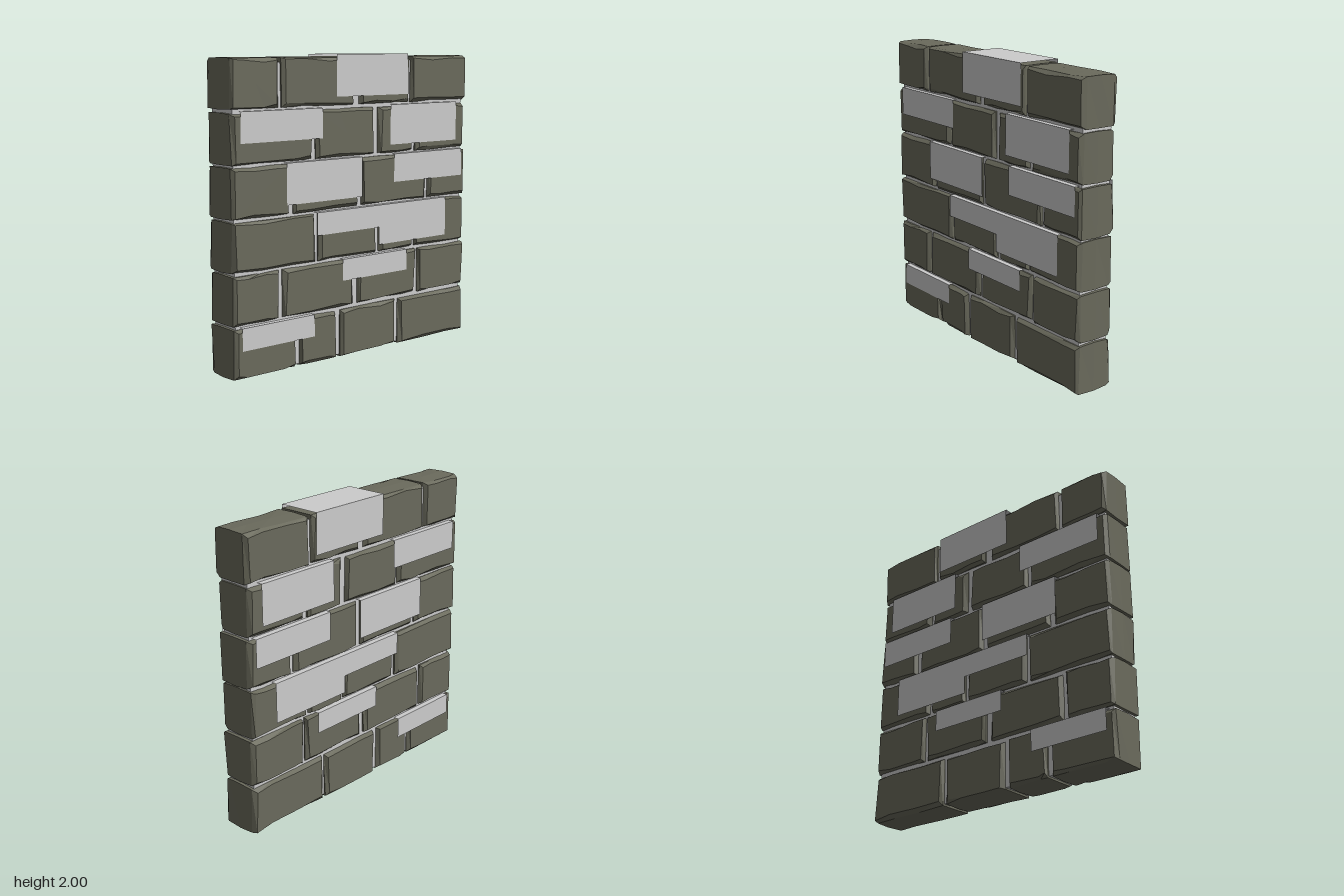
import * as THREE from 'three';

const stoneMat = new THREE.MeshStandardMaterial({ color: 0x6a6a5c, flatShading: true });
const greyMat = new THREE.MeshStandardMaterial({ color: 0xcccccc });
const coverMat = new THREE.MeshStandardMaterial({ color: 0xcccccc, side: THREE.DoubleSide });

// small seeded generator
let seed = 7;
const rand = (a, b) => {
  seed = (seed * 16807) % 2147483647;
  return a + (b - a) * (seed / 2147483647);
};

// Rough-hewn block: rings of an irregular outline, chamfered towards front and back
function stoneBlock(x0, x1, y0, y1) {
  const w = x1 - x0, h = y1 - y0;
  const s = 0.3 + rand(-0.1, 0.1), t = 0.7 + rand(-0.1, 0.1);
  // counter-clockwise outline with the outward direction of each point
  const outline = [
    [0, 0, -1, -1], [s, 0, 0, -1], [t, 0, 0, -1], [1, 0, 1, -1],
    [1, 1, 1, 1], [t, 1, 0, 1], [s, 1, 0, 1], [0, 1, -1, 1],
  ];
  const n = outline.length;
  const ring = (zMin, zMax, inMin, inMax) => outline.map(([u, v, dx, dy]) => [
    x0 + u * w - dx * rand(inMin, inMax),
    y0 + v * h - dy * rand(inMin, inMax),
    rand(zMin, zMax),
  ]);
  const rings = [
    ring(-0.14, -0.14, 0.012, 0.032),
    ring(-0.125, -0.1, 0.002, 0.008),
    ring(0, 0, 0, 0.003),
    ring(0.1, 0.125, 0.002, 0.008),
    ring(0.14, 0.14, 0.012, 0.032),
  ];
  const pos = rings.flat(2);
  const index = [];
  for (let r = 0; r < rings.length - 1; r++) {
    for (let i = 0; i < n; i++) {
      const j = (i + 1) % n;
      const a = r * n + i, b = r * n + j, c = b + n, d = a + n;
      index.push(a, b, c, a, c, d);
    }
  }
  // flat front and back faces as fans around a centre point
  const centre = rings.length * n, last = (rings.length - 1) * n;
  pos.push((x0 + x1) / 2, (y0 + y1) / 2, -0.14, (x0 + x1) / 2, (y0 + y1) / 2, 0.14);
  for (let i = 0; i < n; i++) {
    const j = (i + 1) % n;
    index.push(centre, j, i, centre + 1, last + i, last + j);
  }
  const indexed = new THREE.BufferGeometry();
  indexed.setAttribute('position', new THREE.Float32BufferAttribute(pos, 3));
  indexed.setIndex(index);
  const geo = indexed.toNonIndexed();
  geo.computeVertexNormals();
  return geo;
}

// Sheet folded over a course: front flap, top strip, back flap, open ends
function foldedSheet(x0, x1, y0, y1) {
  const section = [[y0, 0.146], [y1, 0.146], [y1, -0.15], [y0, -0.15]];
  const pos = [];
  for (let i = 0; i < 3; i++) {
    const [ya, za] = section[i], [yb, zb] = section[i + 1];
    pos.push(x0, ya, za, x1, ya, za, x1, yb, zb, x0, ya, za, x1, yb, zb, x0, yb, zb);
  }
  const geo = new THREE.BufferGeometry();
  geo.setAttribute('position', new THREE.Float32BufferAttribute(pos, 3));
  geo.computeVertexNormals();
  return geo;
}

export function createModel() {
  seed = 7;
  const wall = new THREE.Group();
  wall.name = 'stoneWall';
  const add = (name, geo, mat) => {
    const mesh = new THREE.Mesh(geo, mat);
    mesh.name = name;
    wall.add(mesh);
    return mesh;
  };

  // mortar core seen in the joints
  add('mortar', new THREE.BoxGeometry(1.95, 1.94, 0.22), greyMat).position.y = 0.985;

  // courses from bottom to top: y range, then the left and right end of each block
  const courses = [
    [0, 0.325, [[-1, -0.515], [-0.49, -0.175], [-0.15, 0.35], [0.37, 1]]],
    [0.34, 0.658, [[-1, -0.64], [-0.62, -0.035], [0, 0.53], [0.55, 1]]],
    [0.667, 0.99, [[-1, -0.355], [-0.335, 0.165], [0.19, 0.495], [0.515, 0.99]]],
    [1, 1.325, [[-1, -0.56], [-0.53, 0], [0.03, 0.62], [0.645, 1]]],
    [1.335, 1.655, [[-1, -0.37], [-0.35, 0.145], [0.18, 0.495], [0.52, 0.99]]],
    [1.67, 1.987, [[-1, -0.64], [-0.62, -0.03], [0.015, 0.455], [0.475, 1]]],
  ];
  courses.forEach(([y0, y1, blocks], row) => blocks.forEach(([x0, x1], i) =>
    add(`stoneBlock${row + 1}_${i + 1}`, stoneBlock(x0, x1, y0, y1), stoneMat)));

  // sheets draped over single courses: x0, x1, y0, y1
  const sheets = [
    [-0.19, 0.43, 1.73, 2],
    [-0.94, -0.305, 1.47, 1.663],
    [0.275, 0.895, 1.395, 1.663],
    [-0.595, 0.025, 1.065, 1.33],
    [0.31, 0.955, 1.14, 1.33],
    [-0.355, 0.28, 0.845, 0.994],
    [0.175, 0.8, 0.725, 0.994],
    [-0.14, 0.43, 0.52, 0.663],
    [-0.945, -0.38, 0.185, 0.33],
  ];
  sheets.forEach((s, i) => add(`drapedSheet${i + 1}`, foldedSheet(...s), coverMat));

  return wall;
}
